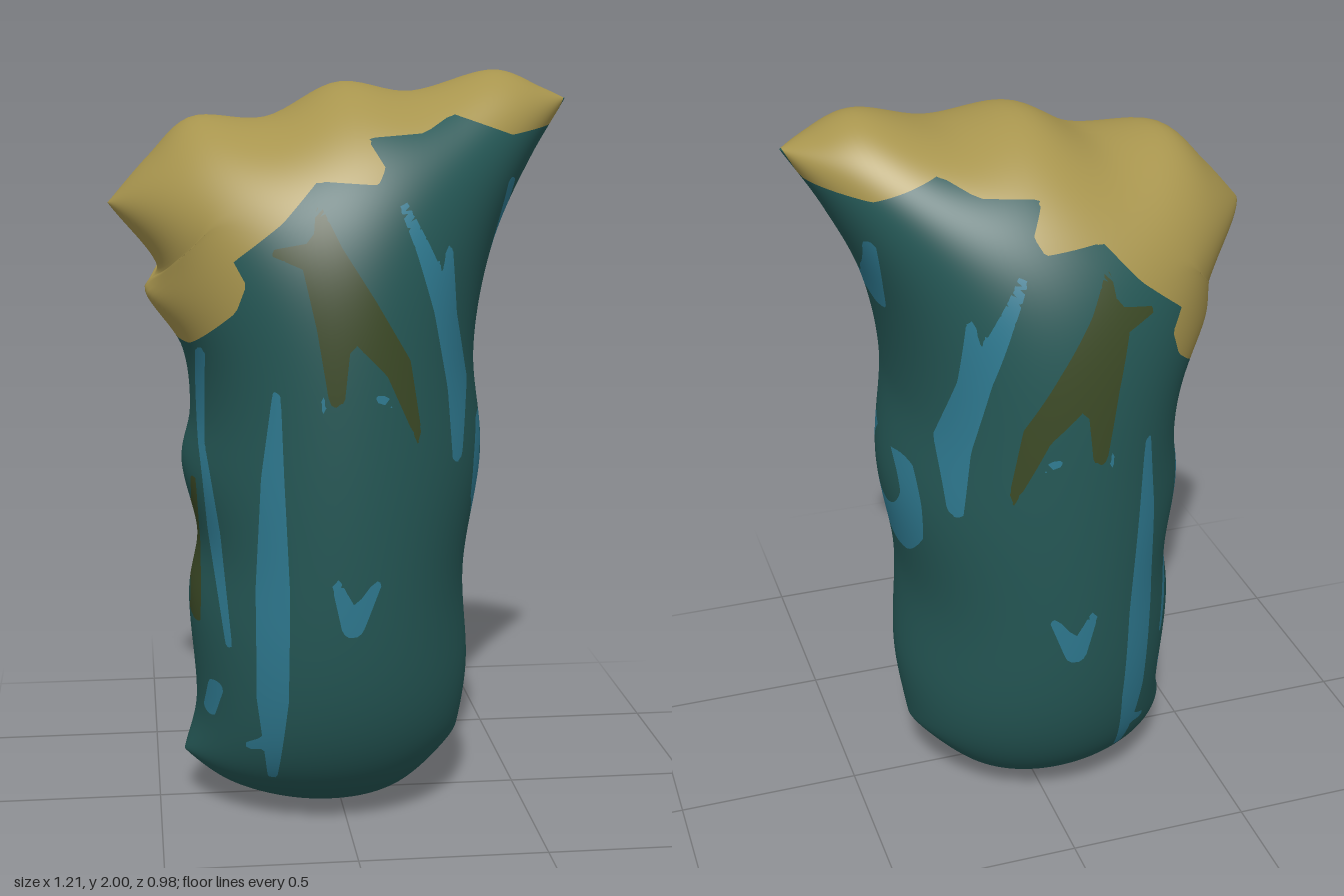
import * as THREE from 'three';

const NX = 76, NY = 140, DEPTH = 0.49;

// Outline of the trunk in four edges, sharing corners
const bottomEdge = [[-.43, .14], [-.3, .055], [-.065, .003], [.15, .035], [.33, .19]];
const rightEdge = [[.33, .19], [.355, .39], [.34, .68], [.385, 1], [.36, 1.28], [.41, 1.555], [.51, 1.77], [.607, 1.925]];
const topEdge = [[-.607, 1.66], [-.5, 1.78], [-.39, 1.88], [-.19, 1.88], [0, 1.97], [.19, 1.945], [.42, 2], [.54, 1.955],
  [.607, 1.925]];
const leftEdge = [[-.43, .14], [-.395, .27], [-.41, .6], [-.385, .76], [-.425, .97], [-.4, 1.1], [-.42, 1.28],
  [-.515, 1.435], [-.48, 1.485], [-.607, 1.66]];

// Ragged border of the golden crown
const crown = [[-.7, 1.29], [-.405, 1.315], [-.295, 1.42], [-.27, 1.49], [-.3, 1.545], [-.18, 1.64], [-.09, 1.74],
  [.06, 1.73], [.08, 1.77], [.04, 1.84], [.19, 1.85], [.27, 1.895], [.43, 1.84], [.565, 1.86], [.7, 2.1], [-.7, 2.1]];

// Brush strokes as x, y and half width at each point
const moss = [
  [[-.09, 1.67, .01], [-.07, 1.55, .045], [0, 1.42, .055], [.1, 1.29, .035], [.165, 1.08, .006]],
  [[-.2, 1.57, .01], [-.1, 1.56, .04], [-.06, 1.4, .045], [-.055, 1.215, .02]],
  [[-.398, .56, .012], [-.39, .75, .01], [-.4, .95, .006]],
];
const longStreaks = [
  [[-.2, 1.22, .01], [-.21, 1, .028], [-.21, .7, .042], [-.21, .4, .04], [-.205, .16, .013]],
  [[-.22, .27, .02], [-.265, .25, .012]],
  [[-.38, 1.3, .012], [-.378, 1.05, .008], [-.35, .82, .015], [-.318, .53, .008]],
  [[.12, 1.68, .012], [.17, 1.57, .02], [.23, 1.42, .032], [.275, 1.22, .034], [.275, 1.03, .016]],
  [[.24, 1.57, .01], [.24, 1.42, .025]],
];
const flecks = [
  [[-.35, .39, .018], [-.365, .31, .014]],
  [[-.055, .74, .012], [-.01, .62, .03], [.05, .73, .012]],
  [[.435, 1.72, .012], [.42, 1.63, .014], [.395, 1.53, .008]],
  [[.52, 1.68, .05], [.45, 1.61, .012]],
  [[.36, 1.1, .014], [.352, 1, .016], [.355, .9, .024], [.38, .82, .035]],
  [[-.1, 1.235, .006], [-.08, 1.18, .009]],
  [[.055, 1.21, .014], [.09, 1.195, .008]],
];

// Distance from a point to a segment, and how far along it the nearest spot lies
function toSegment(x, y, [ax, ay], [bx, by]) {
  const ex = bx - ax, ey = by - ay;
  const t = THREE.MathUtils.clamp(((x - ax) * ex + (y - ay) * ey) / (ex * ex + ey * ey), 0, 1);
  return [Math.hypot(x - ax - t * ex, y - ay - t * ey), t];
}

// Signed distance to a polygon, positive inside
const polygonField = poly => (x, y) => {
  let d = Infinity, odd = false;
  poly.forEach((b, i) => {
    const a = poly.at(i - 1);
    d = Math.min(d, toSegment(x, y, a, b)[0]);
    if ((a[1] > y) !== (b[1] > y) && x < a[0] + (b[0] - a[0]) * (y - a[1]) / (b[1] - a[1])) odd = !odd;
  });
  return odd ? d : -d;
};

// Signed distance to a set of brush strokes, positive inside
const strokeField = strokes => (x, y) => {
  let best = -Infinity;
  for (const s of strokes) for (let i = 1; i < s.length; i++) {
    const [d, t] = toSegment(x, y, s[i - 1], s[i]);
    best = Math.max(best, THREE.MathUtils.lerp(s[i - 1][2], s[i][2], t) - d);
  }
  return best;
};

// Flat grid stretched between the four edges, finer towards the rim
function flatGrid() {
  const ease = (i, n) => (1 - Math.cos(Math.PI * i / n)) / 2;
  const sample = (pts, n) => {
    const curve = new THREE.CatmullRomCurve3(pts.map(([x, y]) => new THREE.Vector3(x, y, 0)));
    curve.arcLengthDivisions = 600;
    return Array.from({ length: n + 1 }, (_, i) => curve.getPointAt(ease(i, n)).toArray());
  };
  const B = sample(bottomEdge, NX), T = sample(topEdge, NX), L = sample(leftEdge, NY), R = sample(rightEdge, NY);
  const pts = [], tris = [];
  for (let j = 0; j <= NY; j++) for (let i = 0; i <= NX; i++) {
    const u = ease(i, NX), v = ease(j, NY);
    pts.push([0, 1].map(k => (1 - v) * B[i][k] + v * T[i][k] + (1 - u) * L[j][k] + u * R[j][k]
      - (1 - u) * (1 - v) * B[0][k] - u * (1 - v) * B[NX][k] - (1 - u) * v * T[0][k] - u * v * T[NX][k]));
  }
  for (let j = 0; j < NY; j++) for (let i = 0; i < NX; i++) {
    const a = j * (NX + 1) + i, d = a + NX + 1;
    tris.push([a, a + 1, d + 1], [a, d + 1, d]);
  }
  return { pts, tris };
}

// Puff the flat sheet up like a pressurised membrane; the depth is the root of its height
function inflate({ pts, tris }) {
  const n = pts.length, links = pts.map(() => new Map()), load = new Float64Array(n), h = new Float64Array(n);
  for (const t of tris) for (let k = 0; k < 3; k++) {
    const a = t[k], b = t[(k + 1) % 3], c = t[(k + 2) % 3];
    const px = pts[a][0] - pts[c][0], py = pts[a][1] - pts[c][1];
    const qx = pts[b][0] - pts[c][0], qy = pts[b][1] - pts[c][1];
    const area = Math.max(Math.abs(px * qy - py * qx), 1e-10), w = (px * qx + py * qy) / area;
    links[a].set(b, (links[a].get(b) || 0) + w);
    links[b].set(a, (links[b].get(a) || 0) + w);
    load[a] += area;
  }
  const rim = p => p % (NX + 1) === 0 || p % (NX + 1) === NX || p <= NX || p >= n - NX - 1;
  const rows = [];
  for (let p = 0; p < n; p++) if (!rim(p)) {
    const ids = [...links[p].keys()], ws = [...links[p].values()];
    rows.push({ p, ids, ws, sum: ws.reduce((s, w) => s + w, 0) });
  }
  for (let pass = 0; pass < 1500; pass++) for (const { p, ids, ws, sum } of rows) {
    let s = load[p];
    for (let k = 0; k < ids.length; k++) s += ws[k] * h[ids[k]];
    h[p] += 1.95 * (s / sum - h[p]);
  }
  const top = h.reduce((m, v) => Math.max(m, v), 0);
  return { rim, depth: Array.from(h, v => DEPTH * Math.sqrt(Math.max(v, 0) / top)) };
}

// Closed front and back as a list of triangles; each corner is position plus normal
function trunkTriangles() {
  const grid = flatGrid(), { rim, depth } = inflate(grid), n = grid.pts.length;
  const pos = [], index = [], out = [];
  for (const s of [1, -1]) grid.pts.forEach(([x, y], p) => pos.push(x, y, s * depth[p]));
  const back = p => rim(p) ? p : p + n;
  for (const [a, b, c] of grid.tris) index.push(a, b, c, back(a), back(c), back(b));
  const g = new THREE.BufferGeometry();
  g.setAttribute('position', new THREE.Float32BufferAttribute(pos, 3));
  g.setIndex(index);
  g.computeVertexNormals();
  const nor = g.attributes.normal.array;
  const corner = p => [...pos.slice(p * 3, p * 3 + 3), ...nor.slice(p * 3, p * 3 + 3)];
  for (let i = 0; i < index.length; i += 3) out.push(index.slice(i, i + 3).map(corner));
  return out;
}

// Split triangles along the zero line of a field
function cut(tris, field) {
  const within = [], rest = [];
  for (const t of tris) {
    const d = t.map(c => field(c[0], c[1]));
    for (const [sign, list] of [[1, within], [-1, rest]]) {
      const poly = [];
      for (let k = 0; k < 3; k++) {
        const m = (k + 1) % 3, a = sign * d[k], b = sign * d[m];
        if (a > 0 || (a === 0 && sign < 0)) poly.push(t[k]);
        if (a * b < 0) poly.push(t[k].map((v, q) => v + (t[m][q] - v) * a / (a - b)));
      }
      for (let k = 2; k < poly.length; k++) list.push([poly[0], poly[k - 1], poly[k]]);
    }
  }
  return [within, rest];
}

export function createModel() {
  const group = new THREE.Group();
  group.name = 'trunk';
  const addPart = (name, colourName, color, tris) => {
    const corners = tris.flat(), g = new THREE.BufferGeometry();
    g.setAttribute('position', new THREE.Float32BufferAttribute(corners.flatMap(c => c.slice(0, 3)), 3));
    g.setAttribute('normal', new THREE.Float32BufferAttribute(corners.flatMap(c => c.slice(3)), 3));
    const material = new THREE.MeshStandardMaterial({ color });
    material.name = colourName;
    const mesh = new THREE.Mesh(g, material);
    mesh.name = name;
    group.add(mesh);
  };
  const [gold, below] = cut(trunkTriangles(), polygonField(crown));
  const [olive, bare] = cut(below, strokeField(moss));
  const [blue, teal] = cut(bare, strokeField([...longStreaks, ...flecks]));
  addPart('crown', 'gold', 0xa8954e, gold);
  addPart('mossPatches', 'olive', 0x3c4a26, olive);
  addPart('streaks', 'blue', 0x2f7b92, blue);
  addPart('body', 'teal', 0x255856, teal);
  return group;
}
